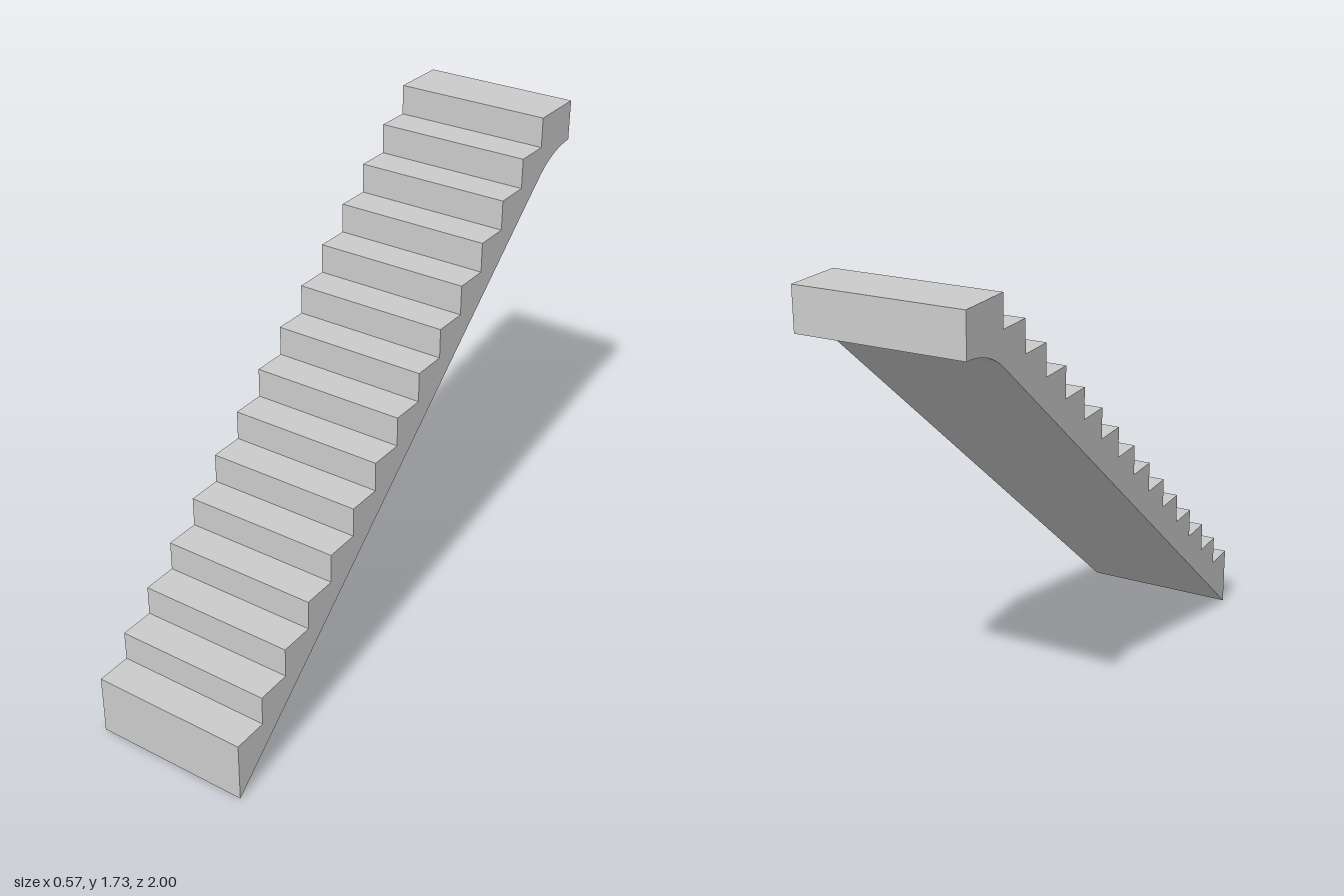
import * as THREE from 'three';
import { toCreasedNormals } from 'three/addons/utils/BufferGeometryUtils.js';

const WIDTH = 0.57;
const TOP = 1.725;
const RISE = 0.1075;
const FIRST_TOP = 0.22;
const STEPS = 14;
const LANDING = 0.795; // distance of the last riser behind the centre
const RUN = (1 + LANDING) / STEPS;

// Side profile: shape x runs towards the back, shape y is up
function stairProfile() {
  const s = new THREE.Shape();
  s.moveTo(-1, 0);

  // Straight soffit, then an arc that levels out under the landing
  const slope = Math.atan2(RISE, RUN);
  const radius = (1 - LANDING) / Math.sin(slope);
  const arcStartY = (1 + LANDING) * Math.tan(slope);
  const centreY = arcStartY - radius * Math.cos(slope);
  s.lineTo(-LANDING * -1, arcStartY);
  s.absarc(1, centreY, radius, Math.PI / 2 + slope, Math.PI / 2, true);

  // Landing, then the steps from top to bottom
  s.lineTo(1, TOP);
  for (let i = STEPS; i >= 0; i--) {
    const x = -1 + i * RUN;
    s.lineTo(x, FIRST_TOP + i * RISE);
    if (i > 0) s.lineTo(x, FIRST_TOP + (i - 1) * RISE);
  }
  s.closePath();
  return s;
}

export function createModel() {
  const group = new THREE.Group();
  group.name = 'staircase';

  let geometry = new THREE.ExtrudeGeometry(stairProfile(), {
    depth: WIDTH, bevelEnabled: false, curveSegments: 16,
  });
  geometry.translate(0, 0, -WIDTH / 2);
  geometry.rotateY(Math.PI / 2);
  geometry = toCreasedNormals(geometry, Math.PI / 6);

  const flight = new THREE.Mesh(geometry, new THREE.MeshStandardMaterial({ color: 0xcccccc }));
  flight.name = 'stairFlight';
  group.add(flight);
  return group;
}
